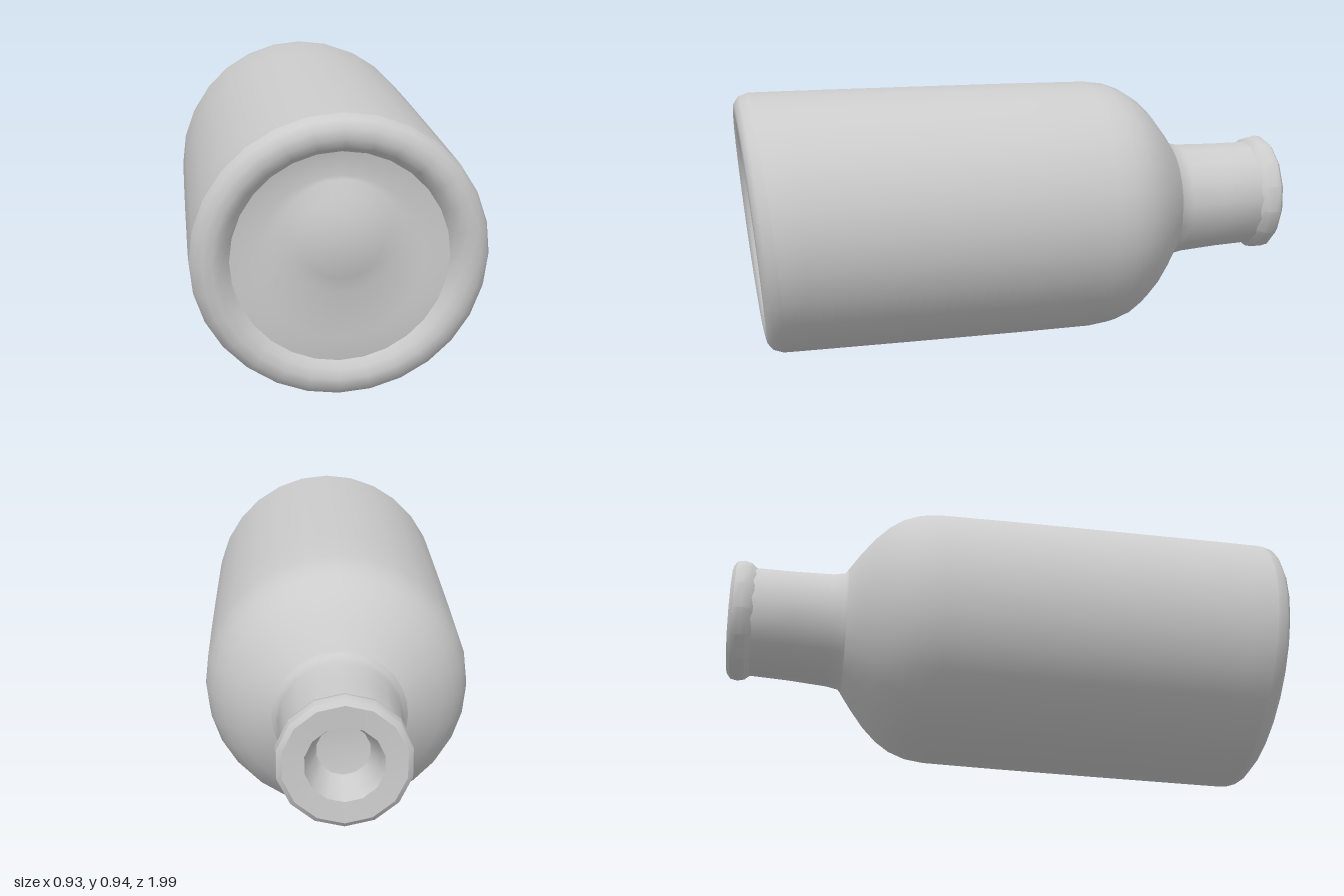
import * as THREE from 'three';
import { toCreasedNormals } from 'three/addons/utils/BufferGeometryUtils.js';

const material = new THREE.MeshStandardMaterial({ color: 0xcccccc, side: THREE.DoubleSide });

// Height of the bottle's axis: it rises slightly towards the mouth
const axisY = (z) => 0.4885 - 0.019 * z - 0.008 * THREE.MathUtils.smoothstep(-z, 0.6, 0.9) * z;

// Turns a [z, radius] profile around the z axis, bending each ring by a rule
function turned(name, profile, segments, crease, rule = () => {}) {
  const points = profile.map(([z, r]) => new THREE.Vector2(r, -z));
  const geometry = new THREE.LatheGeometry(points, segments).rotateX(-Math.PI / 2);
  const pos = geometry.attributes.position;
  const v = new THREE.Vector3();
  for (let i = 0; i < pos.count; i++) {
    v.fromBufferAttribute(pos, i);
    const lift = axisY(v.z);
    rule(v, Math.hypot(v.x, v.y));
    pos.setXYZ(i, v.x, v.y + lift, v.z);
  }
  const mesh = new THREE.Mesh(toCreasedNormals(geometry, crease), material);
  mesh.name = name;
  return mesh;
}

export function createModel() {
  const group = new THREE.Group();
  group.name = 'bottle';

  // Base with slanted rim and shallow recess: the low dome sits above centre
  const baseProfile = [
    [0.945, 0], [0.94, 0.07], [0.925, 0.13], [0.908, 0.18], [0.905, 0.26],
    [0.908, 0.34], [0.945, 0.365], [0.957, 0.395], [0.953, 0.425],
    [0.935, 0.45], [0.9, 0.462],
  ];
  group.add(turned('base', baseProfile, 28, 0.7, (v, r) => {
    const slant = r > 0.35 ? 0.1 : r > 0.3 ? 0.05 : 0;
    v.z += slant * v.y;
    if (r < 0.2) v.y += 0.07;
  }));

  // Straight body and rounded shoulder
  const bodyProfile = [
    [0.9, 0.462], [0.8, 0.463], [0.4, 0.462], [0, 0.46], [-0.27, 0.457],
    [-0.34, 0.448], [-0.4, 0.426], [-0.45, 0.393], [-0.5, 0.345],
    [-0.55, 0.282], [-0.59, 0.225],
  ];
  group.add(turned('body', bodyProfile, 28, 0.9, (v) => {
    if (v.z > 0.85) v.z += 0.1 * v.y;
  }));

  // Neck, flaring slightly where it meets the shoulder
  const neckProfile = [[-0.57, 0.245], [-0.6, 0.213], [-0.64, 0.205], [-0.78, 0.198], [-0.925, 0.195]];
  group.add(turned('neck', neckProfile, 16, 0.9));

  // Lip with a flat face and a shallow mouth
  const lipProfile = [
    [-0.915, 0.194], [-0.935, 0.211], [-0.96, 0.217], [-0.985, 0.212],
    [-0.998, 0.195], [-0.993, 0.125], [-0.96, 0.112], [-0.88, 0.085], [-0.87, 0],
  ];
  group.add(turned('lip', lipProfile, 14, 0.6));

  return group;
}
